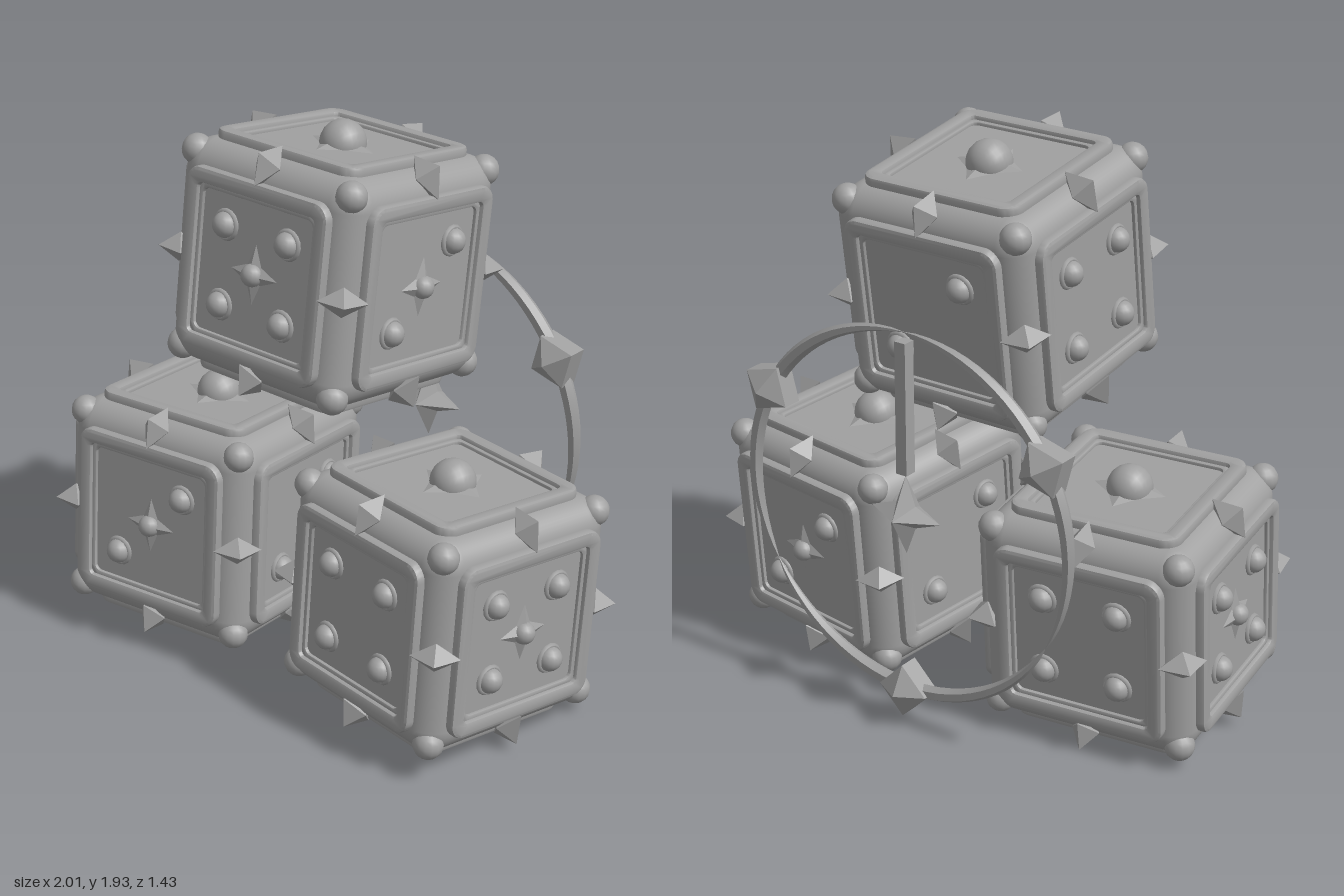
import * as THREE from 'three';
import { toCreasedNormals } from 'three/addons/utils/BufferGeometryUtils.js';
import { RoundedBoxGeometry } from 'three/addons/geometries/RoundedBoxGeometry.js';

const stone = new THREE.MeshStandardMaterial({ color: 0xa0a0a0 });
stone.name = 'stone grey';

function add(parent, name, geo, x = 0, y = 0, z = 0) {
  const m = new THREE.Mesh(geo, stone);
  m.name = name;
  m.position.set(x, y, z);
  parent.add(m);
  return m;
}

const faceted = (geo) => toCreasedNormals(geo, 0.3);

// Four-pointed star with ridges rising to a point on both sides
function starGeometry(outer, inner, h) {
  const rim = [];
  for (let i = 0; i < 8; i++) {
    const r = i % 2 ? inner : outer, a = i * Math.PI / 4;
    rim.push([r * Math.cos(a), r * Math.sin(a), 0]);
  }
  const pos = [];
  for (let i = 0; i < 8; i++) {
    const a = rim[i], b = rim[(i + 1) % 8];
    pos.push(...a, ...b, 0, 0, h, ...b, ...a, 0, 0, -h);
  }
  const g = new THREE.BufferGeometry();
  g.setAttribute('position', new THREE.Float32BufferAttribute(pos, 3));
  g.computeVertexNormals();
  return g;
}

// Rounded square outline with half size s and corner radius r
function roundedSquare(s, r, Type) {
  const p = new Type();
  p.moveTo(s, -s + r);
  p.lineTo(s, s - r);
  p.absarc(s - r, s - r, r, 0, Math.PI / 2);
  p.absarc(-s + r, s - r, r, Math.PI / 2, Math.PI);
  p.absarc(-s + r, -s + r, r, Math.PI, Math.PI * 1.5);
  p.absarc(s - r, -s + r, r, Math.PI * 1.5, Math.PI * 2);
  return p;
}

// Bevelled square ring whose outer face lies at z = top
function ringGeometry(outer, inner, bottom, top, bevel) {
  const shape = roundedSquare(outer - bevel, 0.045, THREE.Shape);
  shape.holes.push(roundedSquare(inner + bevel, 0.03, THREE.Path));
  const g = new THREE.ExtrudeGeometry(shape, {
    depth: top - bottom - 2 * bevel, bevelThickness: bevel, bevelSize: bevel,
    bevelSegments: 2, curveSegments: 5,
  });
  g.translate(0, 0, bottom + bevel);
  return toCreasedNormals(g, 0.5);
}

const HALF = 0.38, EDGE = 0.355, CORNER = 0.331, S = 0.134;
const bodyGeo = new RoundedBoxGeometry(2 * HALF, 2 * HALF, 2 * HALF, 5, 0.1);
const frameGeo = ringGeometry(0.303, 0.25, 0.355, 0.408, 0.012);
const innerFrameGeo = ringGeometry(0.262, 0.236, 0.368, 0.392, 0.005);
const pipGeo = new THREE.SphereGeometry(0.043, 16, 10);
const collarGeo = new THREE.TorusGeometry(0.044, 0.01, 6, 16);
const studGeo = new THREE.SphereGeometry(0.052, 14, 10);
const diamondGeo = faceted(new THREE.OctahedronGeometry(1).scale(0.083, 0.05, 0.07));
const smallStarGeo = starGeometry(0.1, 0.042, 0.025);
const bigStarGeo = starGeometry(0.13, 0.075, 0.03);
const starPipGeo = new THREE.SphereGeometry(0.038, 16, 10);
const bigPipGeo = new THREE.SphereGeometry(0.078, 20, 14);

// Outer pips for each face value; odd values also get a central star
const diagonal = [[S, S], [-S, -S]];
const square = [...diagonal, [-S, S], [S, -S]];
const six = [-1, 0, 1].flatMap((i) => [[i * S, 0.1], [i * S, -0.1]]);
const PIPS = { 1: [], 2: diagonal, 3: diagonal, 4: square, 5: square, 6: six };

function createFace(value) {
  const face = new THREE.Group();
  face.name = 'face' + value;
  add(face, 'frame', frameGeo);
  add(face, 'innerFrame', innerFrameGeo);
  for (const [x, y] of PIPS[value]) {
    add(face, 'pip', pipGeo, x, y, HALF + 0.006);
    add(face, 'pipCollar', collarGeo, x, y, HALF + 0.002);
  }
  if (value % 2) {
    add(face, 'star', value === 1 ? bigStarGeo : smallStarGeo, 0, 0, HALF);
    add(face, 'centrePip', value === 1 ? bigPipGeo : starPipGeo, 0, 0, HALF + 0.008);
  }
  return face;
}

// values: front, right, back, left
function createDie(name, values, position, yaw, tilt) {
  const die = new THREE.Group();
  die.name = name;
  add(die, 'body', bodyGeo);
  values.forEach((v, i) => {
    const f = createFace(v);
    f.rotation.y = i * Math.PI / 2;
    die.add(f);
  });
  for (const [v, a] of [[1, -Math.PI / 2], [6, Math.PI / 2]]) {
    const f = createFace(v);
    f.rotation.x = a;
    die.add(f);
  }
  for (const i of [-1, 1]) for (const j of [-1, 1]) {
    // Round corner studs
    for (const k of [-1, 1]) add(die, 'cornerStud', studGeo, i * CORNER, j * CORNER, k * CORNER);
    // Diamond studs at the middle of each edge
    for (let axis = 0; axis < 3; axis++) {
      const along = new THREE.Vector3().setComponent(axis, 1);
      const p = new THREE.Vector3()
        .setComponent((axis + 1) % 3, i * EDGE).setComponent((axis + 2) % 3, j * EDGE);
      const out = p.clone().normalize();
      const across = along.clone().cross(out);
      const d = add(die, 'edgeDiamond', diamondGeo, p.x, p.y, p.z);
      d.quaternion.setFromRotationMatrix(new THREE.Matrix4().makeBasis(across, along, out));
    }
  }
  die.position.set(...position);
  die.rotation.set(THREE.MathUtils.degToRad(tilt), THREE.MathUtils.degToRad(yaw), 0, 'YXZ');
  return die;
}

// Third of a ring, thick in the middle and pointed at both ends
function arcGeometry(R, tube) {
  const span = Math.PI * 2 / 3;
  const g = new THREE.TorusGeometry(R, tube, 6, 28, span);
  const p = g.attributes.position;
  for (let i = 0; i < p.count; i++) {
    const a = Math.atan2(p.getY(i), p.getX(i));
    const k = Math.pow(Math.max(Math.sin(a / span * Math.PI), 0.004), 0.6);
    const r = R + (Math.hypot(p.getX(i), p.getY(i)) - R) * k;
    p.setXYZ(i, r * Math.cos(a), r * Math.sin(a), p.getZ(i) * k);
  }
  return toCreasedNormals(g, 0.5);
}

function createRing() {
  const ring = new THREE.Group();
  ring.name = 'ring';
  const R = 0.64;
  const arc = arcGeometry(R, 0.027);
  const profile = [[0, -0.088], [0.095, -0.035], [0.095, 0.035], [0, 0.088]];
  const gem = faceted(new THREE.LatheGeometry(
    profile.map(([x, y]) => new THREE.Vector2(x, y)), 4).rotateX(Math.PI / 2));
  for (let i = 0; i < 3; i++) {
    const a = Math.PI / 6 + i * Math.PI * 2 / 3;
    add(ring, 'ringArc', arc).rotation.z = a - Math.PI / 3;
    add(ring, 'ringGem', gem, R * Math.cos(a), R * Math.sin(a), 0).rotation.z = a;
  }
  // Hanging bar and central star
  add(ring, 'bar', new THREE.BoxGeometry(0.042, 0.46, 0.045), 0, 0.38, 0);
  add(ring, 'hangingStar', starGeometry(0.14, 0.055, 0.075));
  ring.position.set(0.115, 0.79, -0.475);
  ring.rotation.y = THREE.MathUtils.degToRad(-15);
  return ring;
}

export function createModel() {
  const model = new THREE.Group();
  model.name = 'stackedDice';
  model.add(
    createDie('lowerDieA', [3, 2, 4, 5], [-0.535, 0.452, -0.08], -8, -4.5),
    createDie('lowerDieB', [4, 5, 3, 2], [0.48, 0.453, 0.19], -24, -4.5),
    createDie('upperDie', [5, 3, 2, 4], [-0.02, 1.488, 0.02], -15, -8),
    createRing(),
  );
  return model;
}
